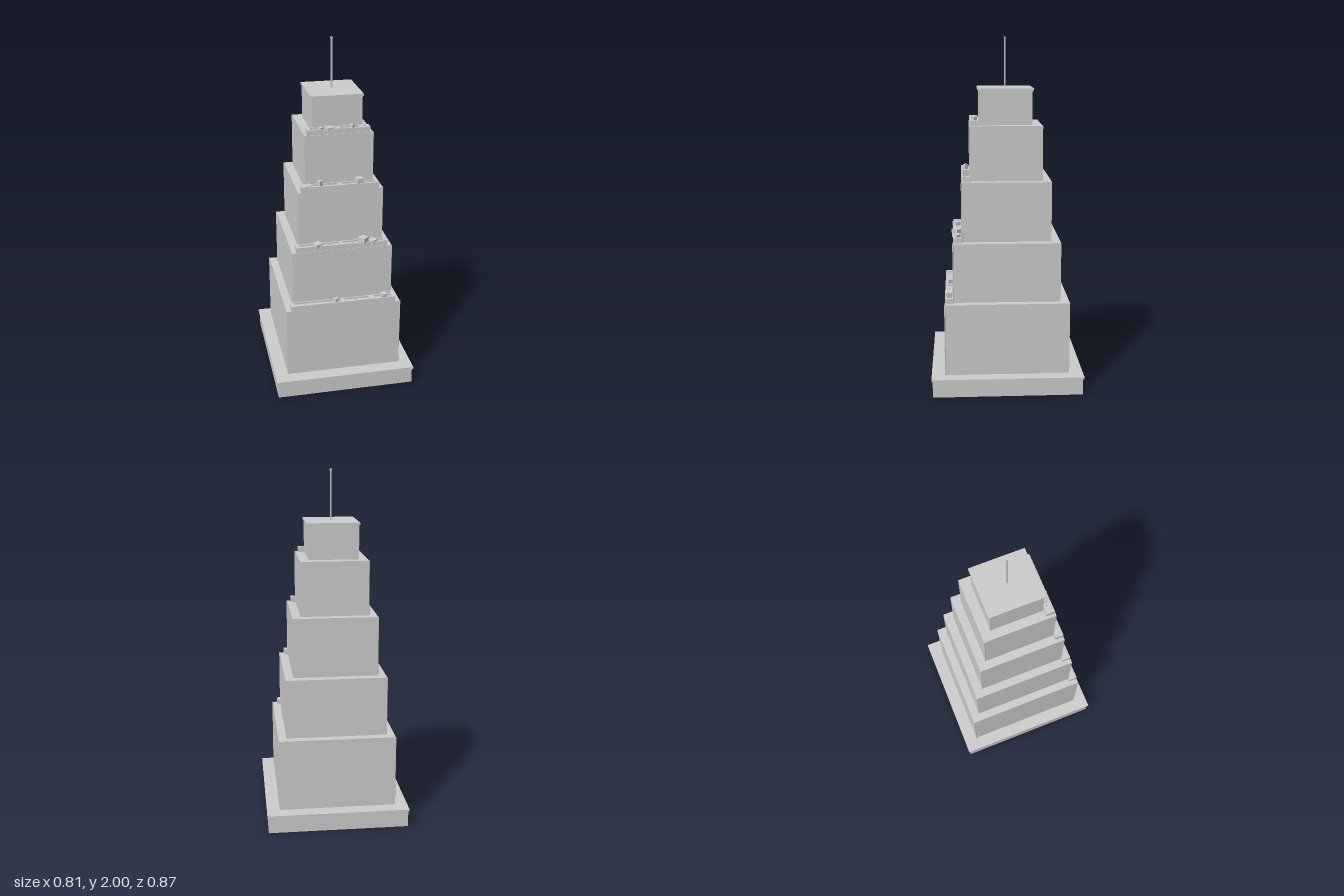
import * as THREE from 'three';

export function createModel() {
  const model = new THREE.Group();
  model.name = 'steppedTower';
  const stone = new THREE.MeshStandardMaterial({ color: 0xcccccc, side: THREE.DoubleSide });
  stone.name = 'pale grey';

  // Box given by its size, with y as its underside
  function box(name, w, h, d, x, y, z, parent = model) {
    const mesh = new THREE.Mesh(new THREE.BoxGeometry(w, h, d), stone);
    mesh.name = name;
    mesh.position.set(x, y + h / 2, z);
    parent.add(mesh);
    return mesh;
  }

  // Hollow plinth: thin walls, open underneath, closed by an overhanging slab
  const wall = 0.004;
  for (const s of [-1, 1]) {
    box('plinthSideWall', wall, 0.095, 0.852, s * 0.398, 0, 0);
    box('plinthEndWall', 0.8, 0.095, wall, 0, 0, s * 0.424);
  }
  box('plinthSlab', 0.813, 0.012, 0.866, 0, 0.094, 0);

  // Tiers: half width, half depth, bottom, top
  const tiers = [
    [0.333, 0.354, 0.1, 0.52],
    [0.287, 0.305, 0.52, 0.86],
    [0.24, 0.254, 0.86, 1.2],
    [0.192, 0.206, 1.2, 1.51],
    [0.14, 0.15, 1.51, 1.697],
  ];
  for (const [hw, hd, y0, y1] of tiers) {
    box('tier', hw * 2, y1 - y0, hd * 2, 0, y0, 0);
    // Thin corner posts on two opposite corners
    for (const s of [-1, 1]) {
      const post = new THREE.Mesh(new THREE.CylinderGeometry(0.003, 0.003, y1 - y0, 8), stone);
      post.name = 'cornerPost';
      post.position.set(s * hw, (y0 + y1) / 2, s * hd);
      model.add(post);
    }
  }

  // Roof cap and mast
  box('roofBand', 0.285, 0.008, 0.305, 0, 1.695, 0);
  box('roofCap', 0.296, 0.012, 0.316, 0, 1.703, 0);
  box('mast', 0.008, 0.285, 0.008, 0, 1.71, 0);
  box('mastTip', 0.012, 0.008, 0.012, 0, 1.992, 0);

  // Front terrace planters. blocks: [x, z, size, top above terrace, turn]
  const planters = [
    { y: 0.52, hw: 0.305, z: 0.329, stems: [-0.225, -0.075, 0.075],
      blocks: [[-0.04, 0.327, 0.024, 0.045, 0.5], [0.17, 0.327, 0.035, 0.03, 0.1], [0.24, 0.331, 0.035, 0.05, 0.25]] },
    { y: 0.86, hw: 0.262, z: 0.278, stems: [-0.193, -0.065, 0.065],
      blocks: [[-0.137, 0.28, 0.043, 0.04, 0.5], [0.127, 0.28, 0.044, 0.055, 0.75], [0.18, 0.28, 0.042, 0.036, 0.7]] },
    { y: 1.2, hw: 0.22, z: 0.229, stems: [-0.16, -0.055, 0.052, 0.16],
      blocks: [[-0.185, 0.228, 0.044, 0.034, 0.1], [-0.113, 0.228, 0.021, 0.055, 0.6], [0.112, 0.228, 0.04, 0.056, 0.2]] },
    { y: 1.51, hw: 0.177, z: 0.178, stems: [-0.128, 0.042],
      blocks: [[-0.097, 0.177, 0.022, 0.036, 0.6], [-0.048, 0.178, 0.042, 0.036, 0.3], [0.078, 0.176, 0.02, 0.042, 0.7], [0.13, 0.175, 0.03, 0.028, 0]] },
  ];
  for (const p of planters) {
    const planter = new THREE.Group();
    planter.name = 'planter';
    model.add(planter);
    box('planterBed', p.hw * 2 - 0.01, 0.02, 0.04, 0, p.y, p.z, planter);
    for (const s of [-1, 1]) {
      box('planterRail', p.hw * 2, 0.03, 0.007, 0, p.y, p.z + s * 0.0205, planter);
      box('planterEnd', 0.02, 0.03, 0.04, s * (p.hw - 0.01), p.y, p.z, planter);
    }
    box('planterDivider', 0.027, 0.028, 0.04, 0, p.y, p.z, planter);
    for (const x of p.stems) box('stem', 0.006, 0.008, 0.006, x, p.y + 0.02, p.z, planter);
    for (const [x, z, size, top, turn] of p.blocks) {
      box('shrubBlock', size, top - 0.019, size, x, p.y + 0.019, z, planter).rotation.y = turn;
    }
  }
  return model;
}
